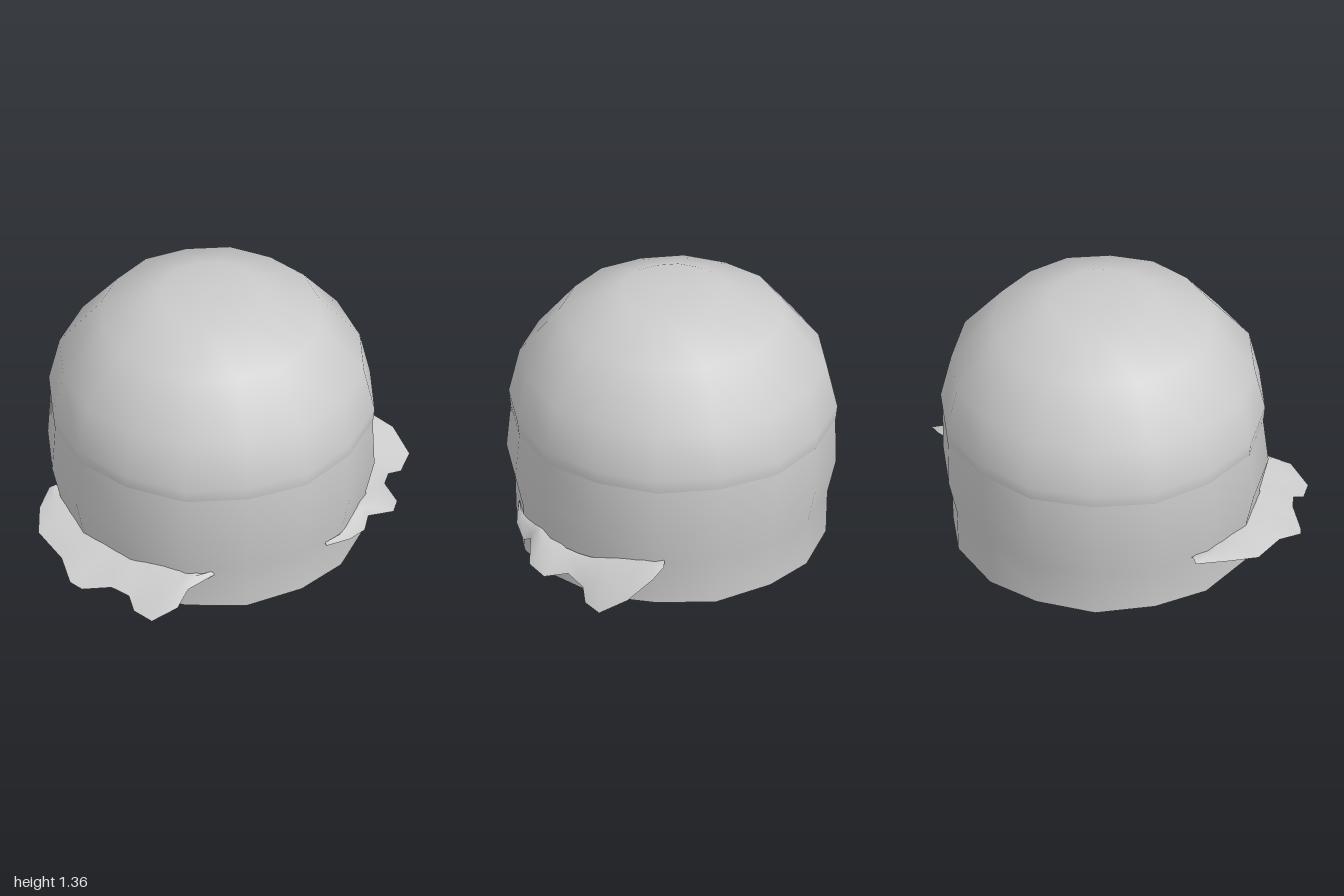
import * as THREE from 'three';

const material = new THREE.MeshStandardMaterial({ color: 0xcccccc });
const sheetMaterial = new THREE.MeshStandardMaterial({ color: 0xcccccc, side: THREE.DoubleSide });
const SIDES = 16;

// Slightly irregular 16-sided turned shape; shift offsets the lower, hand-shaped rings.
function turned(name, profile, shift = () => [0, 0]) {
  const geo = new THREE.LatheGeometry(profile.map(p => new THREE.Vector2(...p)), SIDES);
  const pos = geo.attributes.position;
  for (let i = 0; i < pos.count; i++) {
    const side = Math.floor(i / profile.length);
    const k = side % 2 ? 0.985 : 1;
    const y = pos.getY(i);
    const [dx, dz] = shift(y);
    // the foot rim alternates between raised and touching the ground
    const foot = y < 0.03 && pos.getX(i) ** 2 + pos.getZ(i) ** 2 > 0.01 ? (side % 2 ? -0.01 : 0.01) : 0;
    pos.setXYZ(i, pos.getX(i) * k + dx, y + foot, pos.getZ(i) * k + dz);
  }
  const mesh = new THREE.Mesh(geo, material);
  mesh.name = name;
  return mesh;
}

// Curved sheet spanning from an inner edge to a ragged outer edge.
function leaf(name, inner, outer) {
  const vec = list => list.map(p => new THREE.Vector3(...p));
  const innerPts = vec(inner), outerPts = vec(outer);
  const n = outerPts.length, rows = 3;
  const verts = [], index = [];
  for (let i = 0; i < n; i++) {
    const t = (i / (n - 1)) * (innerPts.length - 1);
    const a = Math.min(Math.floor(t), innerPts.length - 2);
    const root = innerPts[a].clone().lerp(innerPts[a + 1], t - a);
    for (let j = 0; j < rows; j++) {
      const s = j / (rows - 1);
      const p = root.clone().lerp(outerPts[i], s);
      p.y += 0.02 * Math.sin(Math.PI * s); // gentle arch
      verts.push(p.x, p.y, p.z);
      if (i < n - 1 && j < rows - 1) {
        const q = i * rows + j;
        index.push(q, q + rows, q + 1, q + 1, q + rows, q + rows + 1);
      }
    }
  }
  const geo = new THREE.BufferGeometry();
  geo.setAttribute('position', new THREE.Float32BufferAttribute(verts, 3));
  geo.setIndex(index);
  geo.computeVertexNormals();
  // keep the smooth normals on the upper side
  if (geo.attributes.normal.getY(rows + 1) < 0) {
    for (let k = 0; k < index.length; k += 3) [index[k], index[k + 1]] = [index[k + 1], index[k]];
    geo.setIndex(index);
    geo.computeVertexNormals();
  }
  const mesh = new THREE.Mesh(geo, sheetMaterial);
  mesh.name = name;
  return mesh;
}

export function createModel() {
  const group = new THREE.Group();
  group.name = 'domedBody';
  const shift = y => (y < 0.6 ? [-0.016, 0.01] : [-0.005, 0]);

  // Rounded upper shell
  group.add(turned('dome', [
    [0.805, 0.68], [0.813, 0.75], [0.76, 0.985], [0.555, 1.24], [0.27, 1.36], [0, 1.352],
  ], shift));

  // Lower wall and flat underside
  group.add(turned('lowerWall', [
    [0.765, 0.015], [0.772, 0.25], [0.815, 0.43], [0.803, 0.68],
  ], shift));
  group.add(turned('underside', [[0, 0.003], [0.765, 0.015]], shift));

  // Ragged leaves on both sides, reaching round to the front
  group.add(leaf('leftLeaf', [
    [0.7, 0.25, -0.03], [0.72, 0.26, 0.08], [0.71, 0.245, 0.22], [0.67, 0.22, 0.35],
    [0.6, 0.215, 0.46], [0.48, 0.25, 0.59], [0.36, 0.215, 0.66], [0.15, 0.2, 0.74],
  ], [
    [0.79, 0.255, -0.03], [0.91, 0.255, 0.01], [1, 0.18, 0.13], [1, 0.1, 0.27],
    [0.89, 0.09, 0.35], [0.8, 0.125, 0.37], [0.72, 0.15, 0.45], [0.71, 0.12, 0.57],
    [0.63, 0.14, 0.65], [0.47, 0.19, 0.66], [0.42, 0.15, 0.7], [0.3, 0.175, 0.745],
    [0.15, 0.2, 0.75],
  ]));
  group.add(leaf('rightLeaf', [
    [-0.66, 0.24, -0.35], [-0.71, 0.245, -0.2], [-0.73, 0.25, 0], [-0.73, 0.245, 0.15],
    [-0.69, 0.23, 0.3], [-0.64, 0.24, 0.42], [-0.56, 0.235, 0.53], [-0.43, 0.21, 0.62],
  ], [
    [-0.71, 0.24, -0.39], [-0.84, 0.235, -0.29], [-0.94, 0.205, -0.16], [-0.95, 0.18, 0.05],
    [-1, 0.14, 0.19], [-0.97, 0.12, 0.25], [-0.87, 0.155, 0.36], [-0.83, 0.14, 0.45],
    [-0.85, 0.1, 0.52], [-0.82, 0.09, 0.63], [-0.7, 0.15, 0.68], [-0.6, 0.19, 0.63],
    [-0.43, 0.21, 0.63],
  ]));
  return group;
}
